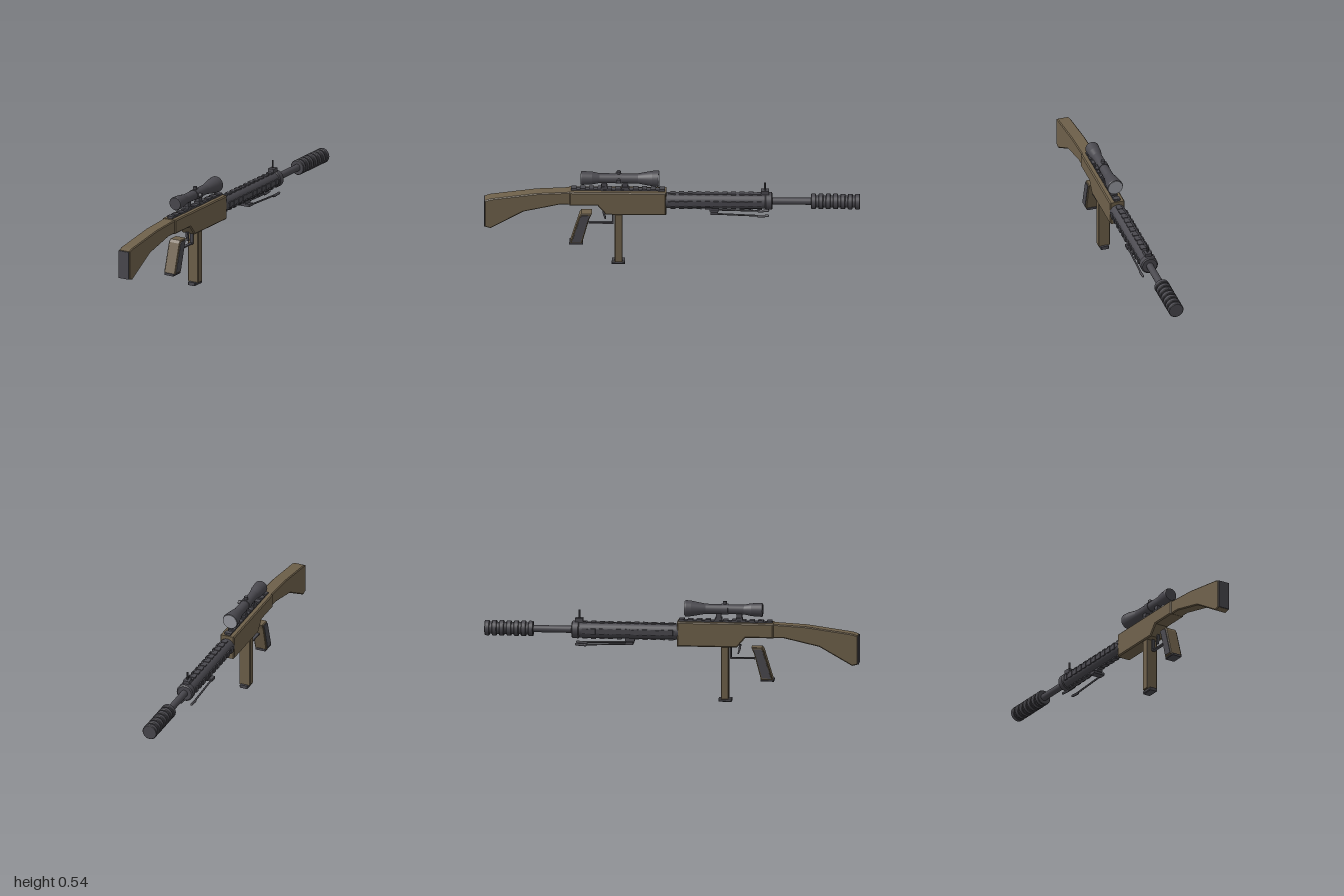
import * as THREE from 'three';

const material = (name, color) => {
  const m = new THREE.MeshStandardMaterial({ color });
  m.name = name;
  return m;
};

export function createModel() {
  const root = new THREE.Group();
  root.name = 'model';
  const brown = material('brown', 0x6e604a);
  const gray = material('darkGray', 0x49484e);
  const glass = material('lensGlass', 0x9a9ba2);

  const add = (name, geometry, mat, x = 0, y = 0, z = 0, parent = root) => {
    const mesh = new THREE.Mesh(geometry, mat);
    mesh.name = name;
    mesh.position.set(x, y, z);
    parent.add(mesh);
    return mesh;
  };
  const box = (name, w, h, d, mat, x, y, z, parent) =>
    add(name, new THREE.BoxGeometry(w, h, d), mat, x, y, z, parent);

  // Side profile of [z, y] points, extruded to a full width with bevelled edges
  const slab = (name, points, width, bevel, mat, x = 0) => {
    const shape = new THREE.Shape(points.map(([z, y]) => new THREE.Vector2(z, y)));
    const geometry = new THREE.ExtrudeGeometry(shape, {
      depth: width - 2 * bevel, bevelEnabled: bevel > 0, bevelThickness: bevel,
      bevelSize: bevel, bevelOffset: -bevel, bevelSegments: 1,
    });
    geometry.translate(0, 0, -(width / 2 - bevel)).rotateY(-Math.PI / 2);
    return add(name, geometry, mat, x);
  };

  // Turned part along z from [z, radius] points, each band with crisp edges
  const turned = (name, points, y, mat) => {
    const group = new THREE.Group();
    group.name = name;
    for (let i = 0; i < points.length - 1; i++) {
      const [z0, r0] = points[i];
      const [z1, r1] = points[i + 1];
      const profile = [new THREE.Vector2(r0, -z0), new THREE.Vector2(r1, -z1)];
      const geometry = new THREE.LatheGeometry(profile, 28).rotateX(-Math.PI / 2);
      add(name + 'Band', geometry, mat, 0, y, 0, group);
    }
    root.add(group);
    return group;
  };

  // Stock with butt plate
  slab('stock', [[0.535, 0.355], [0.6, 0.355], [0.79, 0.312], [0.965, 0.212], [0.995, 0.22],
    [0.995, 0.376], [0.965, 0.386], [0.72, 0.42], [0.535, 0.43]], 0.07, 0.005, brown);
  box('buttPlate', 0.062, 0.152, 0.012, gray, 0, 0.297, 0.994);

  // Receiver
  slab('receiver', [[0.03, 0.3], [0.35, 0.3], [0.395, 0.354], [0.545, 0.354],
    [0.545, 0.432], [0.03, 0.432]], 0.083, 0.006, brown);

  // Receiver rail
  box('receiverRail', 0.03, 0.008, 0.5, gray, 0, 0.434, 0.287);
  for (let i = 0; i < 11; i++) {
    box('receiverRailTooth', 0.037, 0.008, 0.028, gray, 0, 0.441, 0.522 - i * 0.047);
  }

  // Handguard, barrel and ribbed muzzle
  const axisY = 0.373;
  turned('handguard', [[0.035, 0], [0.035, 0.042], [-0.495, 0.042], [-0.5, 0.047],
    [-0.53, 0.047], [-0.535, 0.04], [-0.535, 0]], axisY, gray);
  turned('barrel', [[-0.53, 0.019], [-0.75, 0.019]], axisY, gray);
  const muzzle = [[-0.74, 0]];
  for (let i = 0; i < 7; i++) {
    const z = -0.74 - i * 0.039;
    muzzle.push([z, 0.032], [z, 0.038], [z - 0.003, 0.041], [z - 0.023, 0.041],
      [z - 0.026, 0.038], [z - 0.026, 0.032]);
  }
  muzzle.push([-1, 0]);
  turned('muzzle', muzzle, axisY, gray);

  // Rows of teeth around the handguard
  for (let side = 0; side < 4; side++) {
    const row = new THREE.Group();
    row.name = 'handguardRail';
    row.position.y = axisY;
    row.rotation.z = side * Math.PI / 2;
    box('railStrip', 0.022, 0.008, 0.5, gray, 0, 0.039, -0.23, row);
    for (let i = 0; i < 11; i++) {
      box('railTooth', 0.03, 0.009, 0.026, gray, 0, 0.0415, -0.005 - i * 0.046, row);
    }
    root.add(row);
  }

  // Front sight
  box('sightBase', 0.034, 0.022, 0.042, gray, 0, 0.426, -0.495);
  add('sightPost', new THREE.CylinderGeometry(0.005, 0.005, 0.05, 8), gray, 0, 0.456, -0.495);

  // Scope
  const scopeY = 0.5;
  turned('scope', [[0.485, 0], [0.485, 0.034], [0.48, 0.037], [0.425, 0.034], [0.385, 0.026],
    [0.3, 0.026], [0.3, 0.029], [0.265, 0.029], [0.265, 0.026], [0.18, 0.027], [0.105, 0.041],
    [0.075, 0.044], [0.07, 0.042], [0.07, 0]], scopeY, gray);
  add('scopeLens', new THREE.CylinderGeometry(0.039, 0.039, 0.004, 28), glass, 0, scopeY, 0.069)
    .rotation.x = Math.PI / 2;
  add('topKnob', new THREE.CylinderGeometry(0.011, 0.011, 0.03, 14), gray, 0, 0.528, 0.283);
  add('sideKnob', new THREE.CylinderGeometry(0.011, 0.011, 0.03, 14), gray, 0.029, scopeY, 0.283)
    .rotation.z = Math.PI / 2;
  for (const z of [0.36, 0.25]) {
    box('scopeMountFoot', 0.036, 0.014, 0.036, gray, 0, 0.448, z);
    box('scopeMount', 0.026, 0.04, 0.028, gray, 0, 0.465, z);
  }

  // Magazine
  slab('magazine', [[0.263, 0.015], [0.304, 0.015], [0.304, 0.305], [0.263, 0.305]],
    0.064, 0.003, brown);
  slab('magazineBase', [[0.25, 0], [0.32, 0], [0.32, 0.018], [0.25, 0.018]], 0.048, 0.004, gray);

  // Slanted grip with side panels
  slab('grip', [[0.478, 0.126], [0.54, 0.126], [0.492, 0.285], [0.482, 0.3], [0.426, 0.3],
    [0.44, 0.27]], 0.068, 0.004, brown);
  for (const side of [-1, 1]) {
    slab('gripPanel', [[0.485, 0.134], [0.532, 0.134], [0.486, 0.282], [0.478, 0.292],
      [0.436, 0.292], [0.446, 0.268]], 0.006, 0, gray, side * 0.034);
  }
  slab('gripBase', [[0.474, 0.116], [0.546, 0.116], [0.546, 0.128], [0.474, 0.128]],
    0.06, 0.003, gray);

  // Trigger and guard
  slab('trigger', [[0.35, 0.259], [0.357, 0.259], [0.367, 0.285], [0.37, 0.31], [0.358, 0.31],
    [0.356, 0.285]], 0.014, 0, gray);
  box('guardBar', 0.018, 0.007, 0.13, gray, 0, 0.236, 0.378);
  box('guardPost', 0.018, 0.07, 0.007, gray, 0, 0.268, 0.315);

  // Folded bipod
  box('bipodMount', 0.03, 0.02, 0.05, gray, 0, 0.324, -0.225);
  box('bipodBase', 0.066, 0.015, 0.04, gray, 0, 0.309, -0.225);
  for (const side of [-1, 1]) {
    const path = new THREE.LineCurve3(new THREE.Vector3(side * 0.024, 0.306, -0.21),
      new THREE.Vector3(side * 0.03, 0.297, -0.5));
    add('bipodLeg', new THREE.TubeGeometry(path, 1, 0.005, 8), gray);
    add('bipodFoot', new THREE.CapsuleGeometry(0.007, 0.05, 3, 8), gray, side * 0.03, 0.297, -0.485)
      .rotation.x = Math.PI / 2 + 0.08;
  }

  return root;
}
